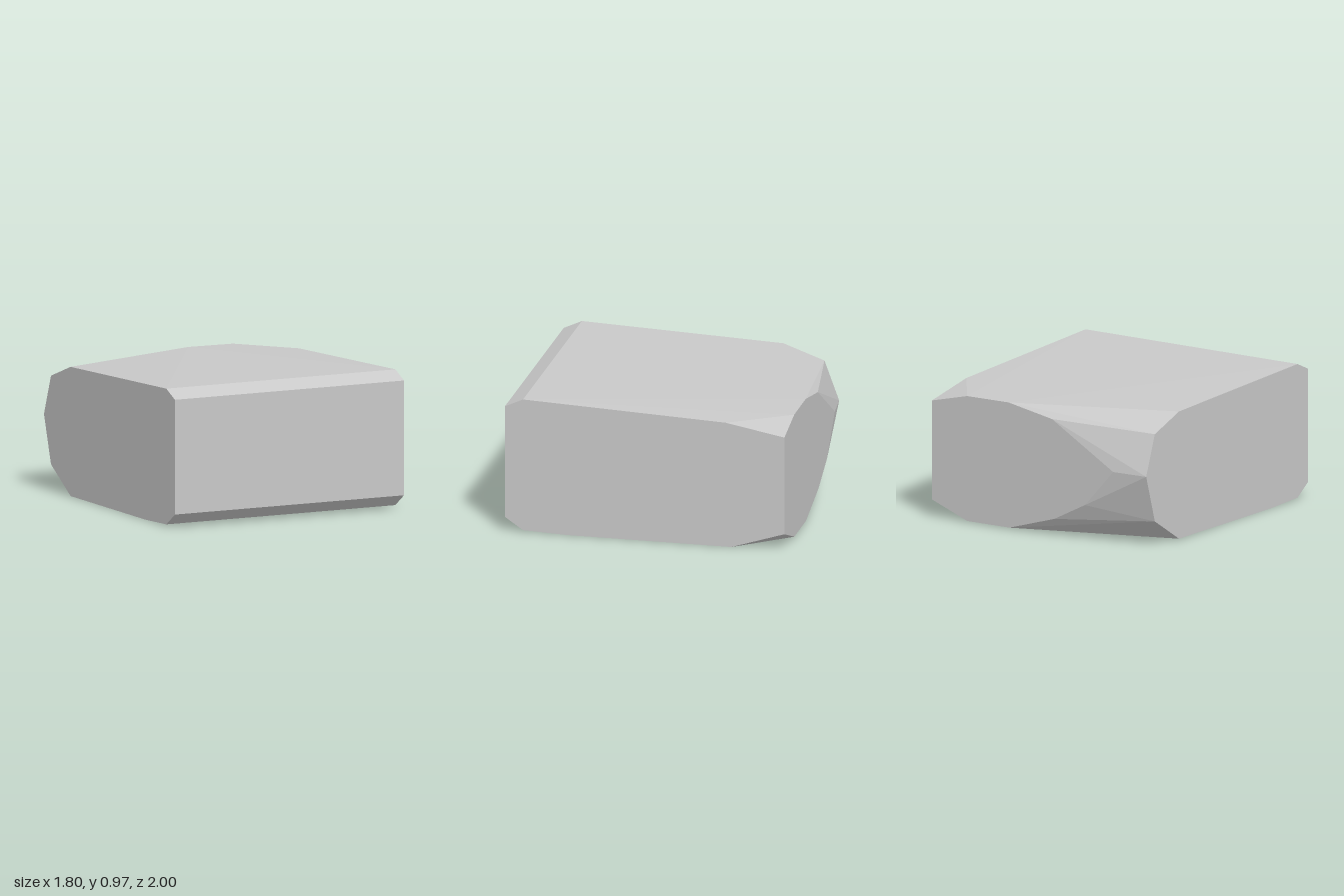
import * as THREE from 'three';
import { ConvexGeometry } from 'three/addons/geometries/ConvexGeometry.js';

export function createModel() {
  const group = new THREE.Group();
  group.name = 'chamferedBlock';
  const grey = new THREE.MeshStandardMaterial({ color: 0xc8c8c8 });
  grey.name = 'light grey';

  const points = [];
  const add = (x, y, z) => points.push(new THREE.Vector3(x, y, z));

  // bevelled front end, same on both sides
  for (const x of [-0.9, 0.9]) {
    for (const [y, z] of [[0.1, 1], [0.91, 1], [0.97, 0.87], [0.012, 0.87], [0, 0.56]]) add(x, y, z);
  }

  // rear edge of the left side, small corner chamfers
  for (const [y, z] of [[0.908, -0.58], [0.83, -1], [0.122, -1], [0, -0.62]]) add(0.9, y, z);

  // rear edge of the right side, rounded off
  for (const [y, z] of [[0.915, -0.57], [0.81, -0.865], [0.525, -0.97], [0.185, -0.865], [0.003, -0.57]]) add(-0.9, y, z);

  // outline of the flat back face
  for (const [x, y] of [
    [0.6, 0.903], [0.25, 0.906], [-0.12, 0.838], [-0.64, 0.53],
    [-0.4, 0.26], [-0.14, 0.125], [0.24, 0.01], [0.6, 0.008],
  ]) add(x, y, -1);

  const block = new THREE.Mesh(new ConvexGeometry(points), grey);
  block.name = 'block';
  group.add(block);
  return group;
}
